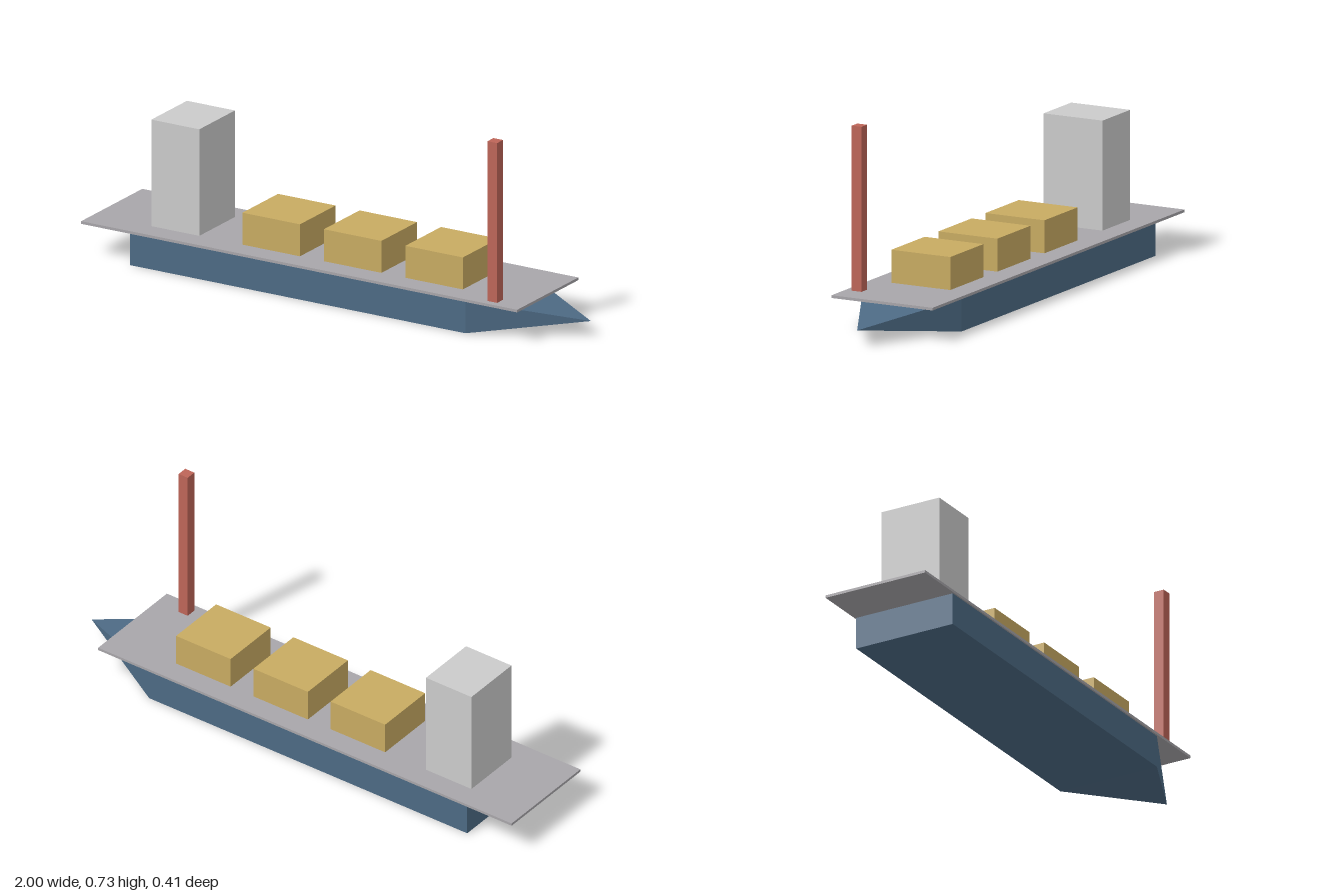
import * as THREE from 'three';

const material = (color) => new THREE.MeshStandardMaterial({ color, flatShading: true });

export function createModel() {
  const ship = new THREE.Group();
  ship.name = 'cargoShip';

  const blue = material(0x4d6a84);
  const deckGrey = material(0xa8a6aa);
  const lightGrey = material(0xcccccc);
  const ochre = material(0xc8ab62);
  const red = material(0xbd6558);

  const add = (name, geometry, mat, x, y, z) => {
    const mesh = new THREE.Mesh(geometry, mat);
    mesh.name = name;
    mesh.position.set(x, y, z);
    ship.add(mesh);
  };
  // Box standing on height y
  const block = (name, mat, w, h, d, x, y, z = 0) =>
    add(name, new THREE.BoxGeometry(w, h, d), mat, x, y + h / 2, z);

  // Hull
  block('hull', blue, 1.4, 0.12, 0.4, -0.1, 0);

  // Bow: four-sided pyramid lying on its side, tip towards +x
  const bow = new THREE.ConeGeometry(Math.SQRT1_2, 0.4, 4)
    .rotateY(Math.PI / 4)
    .rotateZ(-Math.PI / 2)
    .scale(1, 0.12, 0.4)
    .toNonIndexed();
  bow.computeVertexNormals();
  add('bow', bow, blue, 0.8, 0.06, 0);

  // Deck plate, overhanging the stern
  block('deck', deckGrey, 1.82, 0.01, 0.412, -0.09, 0.12);

  // Wheelhouse at the stern
  block('wheelhouse', lightGrey, 0.2, 0.4, 0.24, -0.66, 0.13);

  // Row of cargo crates
  for (let i = 0; i < 3; i++) {
    block(`cargoCrate${i + 1}`, ochre, 0.24, 0.12, 0.24, -0.26 + i * 0.34, 0.13);
  }

  // Mast near the bow, beside the front edge
  block('mast', red, 0.04, 0.6, 0.04, 0.7, 0.13, 0.16);

  return ship;
}
